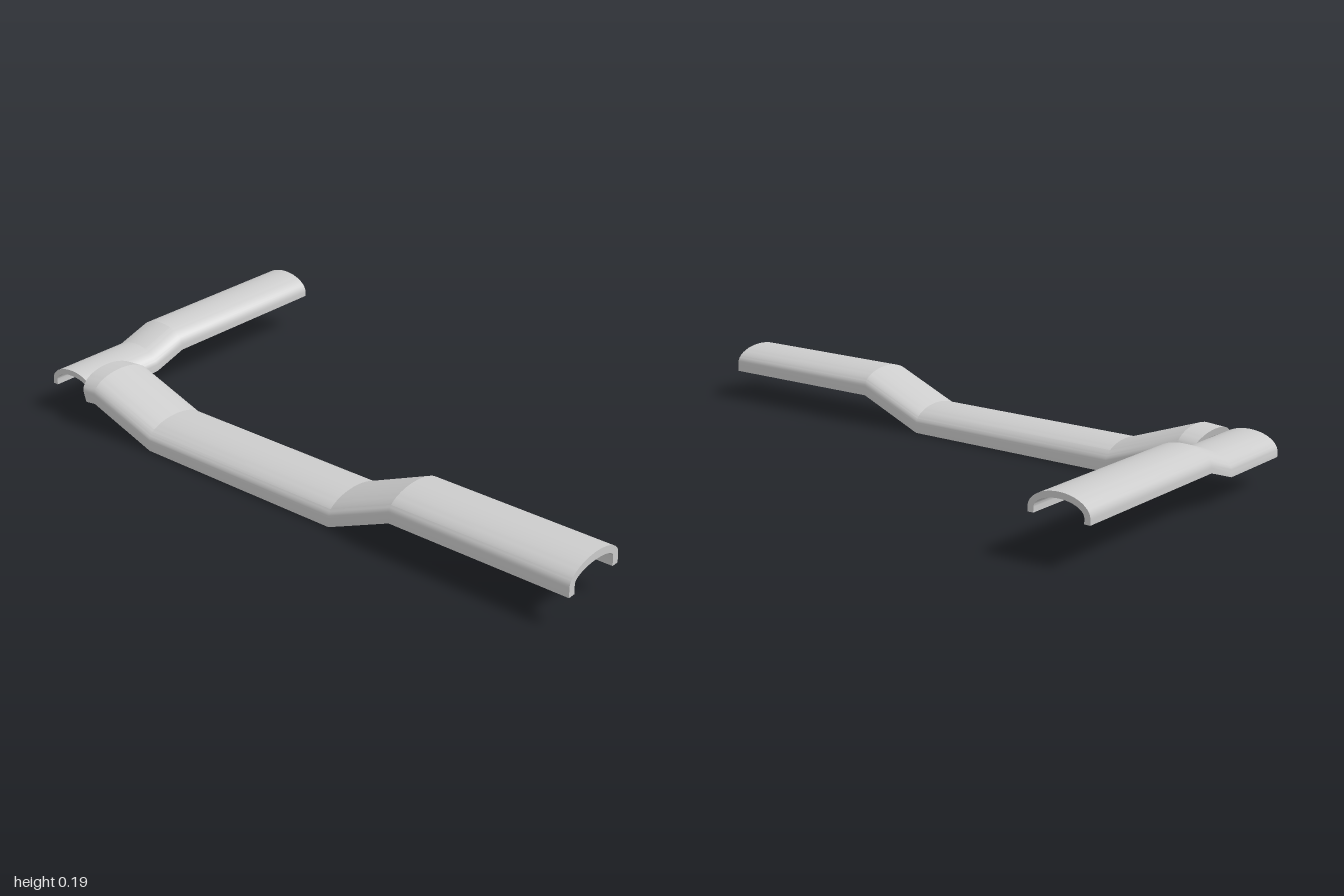
import * as THREE from 'three';
import { toCreasedNormals } from 'three/addons/utils/BufferGeometryUtils.js';

const ARC = 28;

// Arch outline: short straight legs topped by a half ellipse, from +x over the top to -x
function arch(halfWidth, height, leg) {
  const pts = [[halfWidth, 0]];
  for (let i = 0; i <= ARC; i++) {
    const a = (Math.PI * i) / ARC;
    pts.push([halfWidth * Math.cos(a), leg + (height - leg) * Math.sin(a)]);
  }
  pts.push([-halfWidth, 0]);
  return pts;
}

// Sweeps a hollow arch along z; each station is [z, base height, lean of the section]
function channel(name, { width, height, leg, wall }, stations) {
  const outer = arch(width / 2, height, leg);
  const inner = arch(width / 2 - wall, height - wall, leg);
  const ring = [...outer, ...inner.reverse()];
  const n = ring.length;
  const positions = [];
  for (const [z, y, lean = 0] of stations) {
    for (const [u, v] of ring) positions.push(u, y + v, z + lean * v);
  }
  const index = [];
  const quad = (a, b, c, d) => index.push(a, b, c, a, c, d);

  // Outer skin, inner skin and leg undersides
  for (let i = 0; i < stations.length - 1; i++) {
    for (let j = 0; j < n; j++) {
      const k = (j + 1) % n;
      quad(i * n + j, i * n + k, (i + 1) * n + k, (i + 1) * n + j);
    }
  }
  // End rims
  const last = (stations.length - 1) * n;
  for (let j = 0; j < n / 2 - 1; j++) {
    const p = j, q = j + 1, r = n - 2 - j, s = n - 1 - j;
    quad(last + p, last + q, last + r, last + s);
    quad(s, r, q, p);
  }

  const geometry = new THREE.BufferGeometry();
  geometry.setAttribute('position', new THREE.Float32BufferAttribute(positions, 3));
  geometry.setIndex(index);
  const mesh = new THREE.Mesh(
    toCreasedNormals(geometry, 0.3),
    new THREE.MeshStandardMaterial({ color: 0xcccccc, side: THREE.DoubleSide })
  );
  mesh.name = name;
  return mesh;
}

export function createModel() {
  const group = new THREE.Group();
  group.name = 'bentChannels';

  // Long channel along x, dipping in the middle; its left end leans over the short one
  const long = channel('longChannel', { width: 0.225, height: 0.083, leg: 0.03, wall: 0.024 }, [
    [-0.82, 0.083, -0.3],
    [-0.78, 0.088],
    [-0.54, 0.003],
    [0.19, 0.003],
    [0.41, 0.096],
    [1, 0.096],
  ]);
  long.rotation.y = Math.PI / 2;
  long.position.z = 0.393;
  group.add(long);

  // Short channel along z, stepping down towards the front
  const short = channel('shortChannel', { width: 0.19, height: 0.07, leg: 0.015, wall: 0.018 }, [
    [-0.508, 0.124],
    [0.095, 0.124],
    [0.21, 0.087],
    [0.483, 0.087],
  ]);
  short.position.x = -0.905;
  group.add(short);

  group.position.y = -0.003;
  return group;
}
